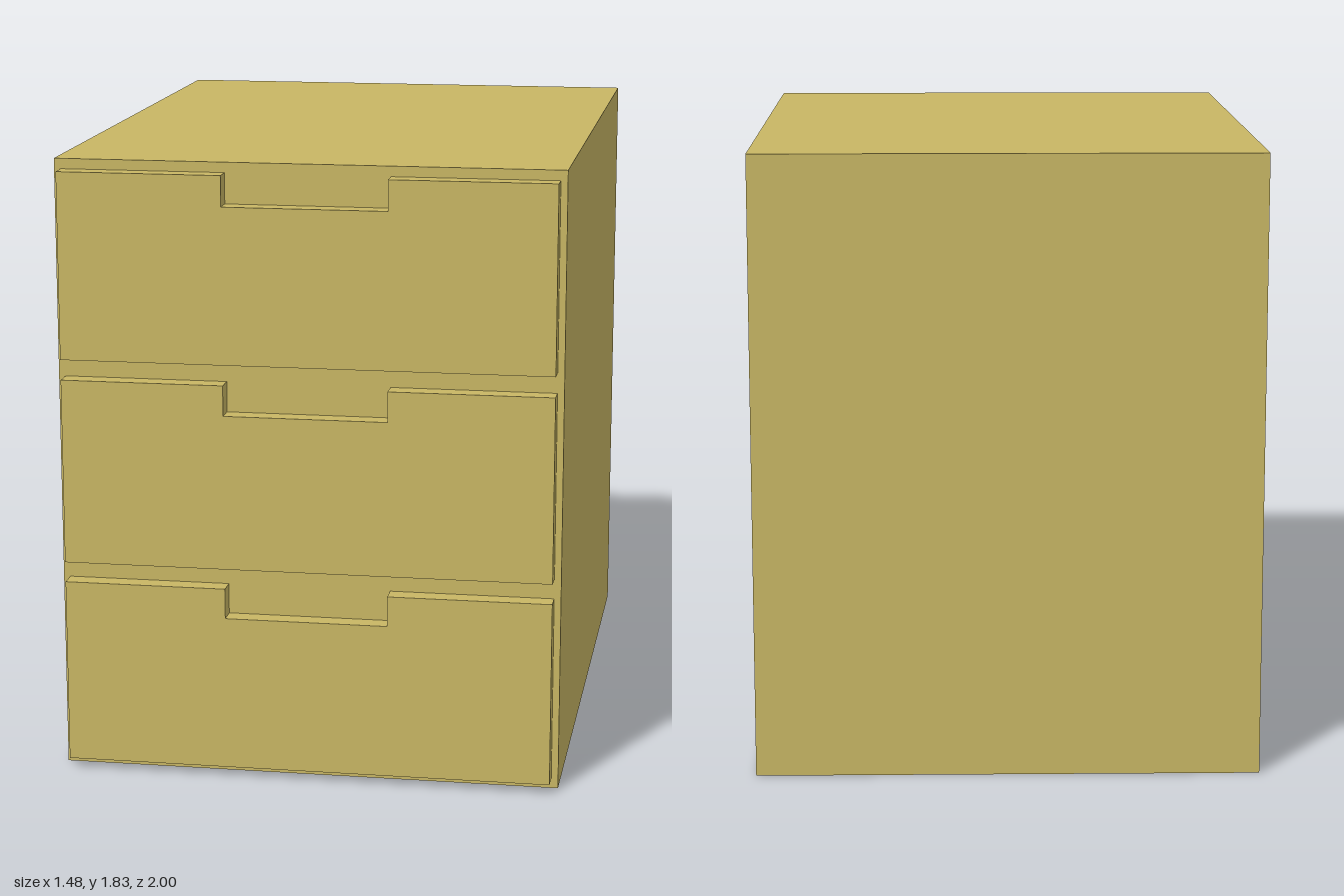
import * as THREE from 'three';

const WIDTH = 1.48, HEIGHT = 1.83, BACK = -1, FACE = 0.942, FRONT = 1;

// Drawer front outline with a finger notch in its top edge
function drawerShape(halfWidth, height, halfNotch, notchDepth) {
  const shape = new THREE.Shape();
  shape.moveTo(-halfWidth, 0);
  shape.lineTo(halfWidth, 0);
  shape.lineTo(halfWidth, height);
  shape.lineTo(halfNotch, height);
  shape.lineTo(halfNotch, height - notchDepth);
  shape.lineTo(-halfNotch, height - notchDepth);
  shape.lineTo(-halfNotch, height);
  shape.lineTo(-halfWidth, height);
  shape.closePath();
  return shape;
}

export function createModel() {
  const model = new THREE.Group();
  model.name = 'drawerCabinet';
  const wood = new THREE.MeshStandardMaterial({ color: 0xc8b664 });
  wood.name = 'paleWood';

  // Cabinet body
  const body = new THREE.Mesh(new THREE.BoxGeometry(WIDTH, HEIGHT, FACE - BACK), wood);
  body.name = 'cabinetBody';
  body.position.set(0, HEIGHT / 2, (FACE + BACK) / 2);
  model.add(body);

  // Three identical drawer fronts, bottom to top
  const frontGeometry = new THREE.ExtrudeGeometry(drawerShape(0.72, 0.55, 0.24, 0.09), {
    depth: FRONT - FACE,
    bevelEnabled: false,
  });
  ['bottom', 'middle', 'top'].forEach((level, i) => {
    const drawer = new THREE.Mesh(frontGeometry, wood);
    drawer.name = `${level}DrawerFront`;
    drawer.position.set(0, 0.03 + i * 0.61, FACE);
    model.add(drawer);
  });

  return model;
}
